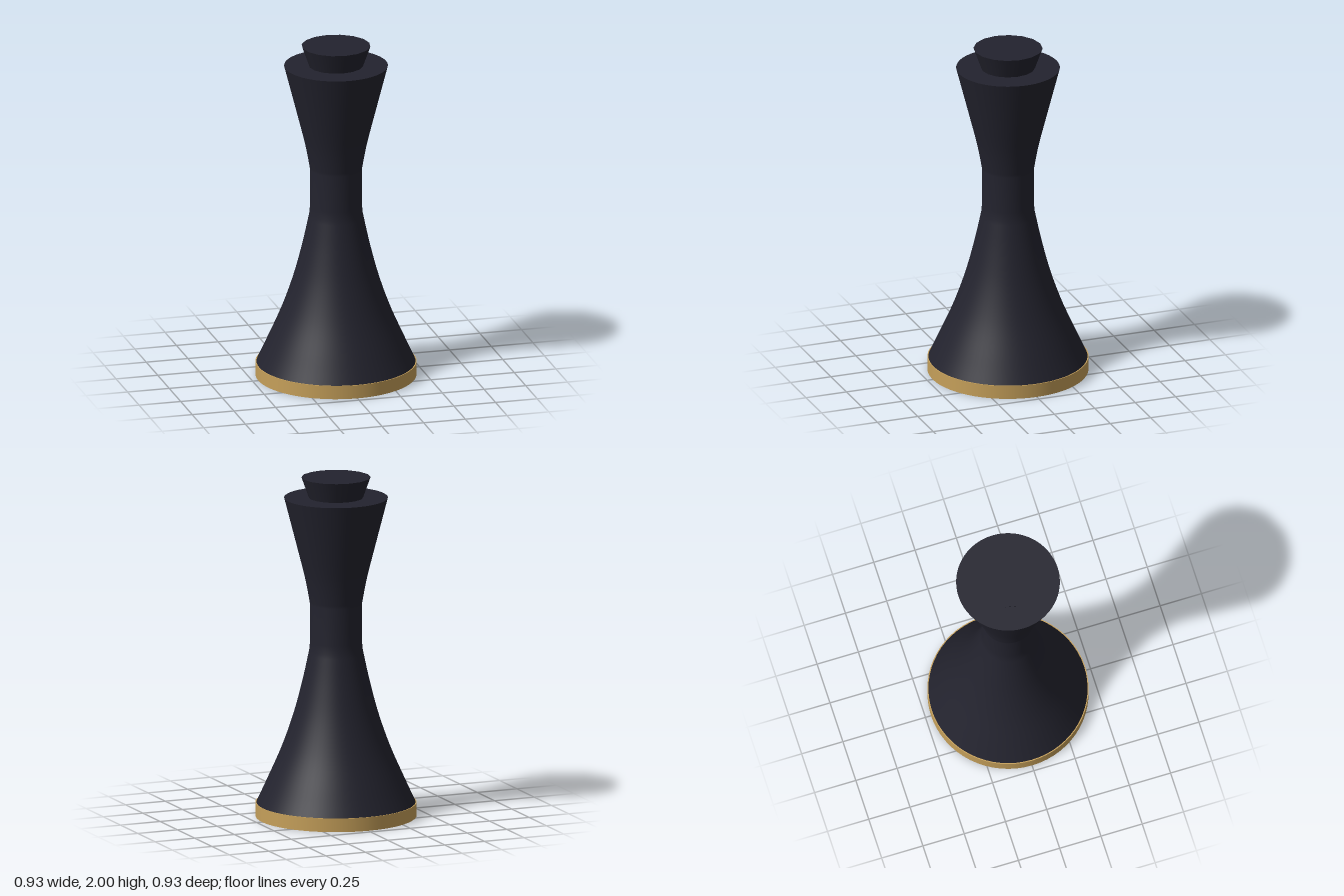
import * as THREE from 'three';

export function createModel() {
  const group = new THREE.Group();
  const dark = new THREE.MeshStandardMaterial({ color: 0x23232e });
  dark.name = 'midnight';
  const gold = new THREE.MeshStandardMaterial({ color: 0xc6a05a });
  gold.name = 'gold';

  const add = (name, geometry, material, y = 0) => {
    const mesh = new THREE.Mesh(geometry, material);
    mesh.name = name;
    mesh.position.y = y;
    group.add(mesh);
    return mesh;
  };

  // Gold foot ring, closed underneath
  add('base', new THREE.CylinderGeometry(0.466, 0.466, 0.08, 64), gold, 0.04);

  // Flared skirt, straight waist and flared neck in one smooth profile
  const v = (x, y) => new THREE.Vector2(x, y);
  const skirt = new THREE.SplineCurve([
    v(0.46, 0.08), v(0.405, 0.2), v(0.317, 0.4), v(0.247, 0.6), v(0.194, 0.8), v(0.155, 0.98),
  ]);
  const neck = new THREE.SplineCurve([
    v(0.15, 1.25), v(0.178, 1.4), v(0.228, 1.6), v(0.3, 1.88),
  ]);
  const profile = [...skirt.getPoints(24), v(0.15, 1.03), ...neck.getPoints(16)];
  add('body', new THREE.LatheGeometry(profile, 64), dark);

  // Flat top of the neck
  const rim = add('rimTop', new THREE.CircleGeometry(0.3, 64), dark, 1.88);
  rim.rotation.x = -Math.PI / 2;

  // Tapered, faceted stopper
  add('stopper', new THREE.CylinderGeometry(0.2, 0.157, 0.12, 16), dark, 1.94);

  return group;
}
